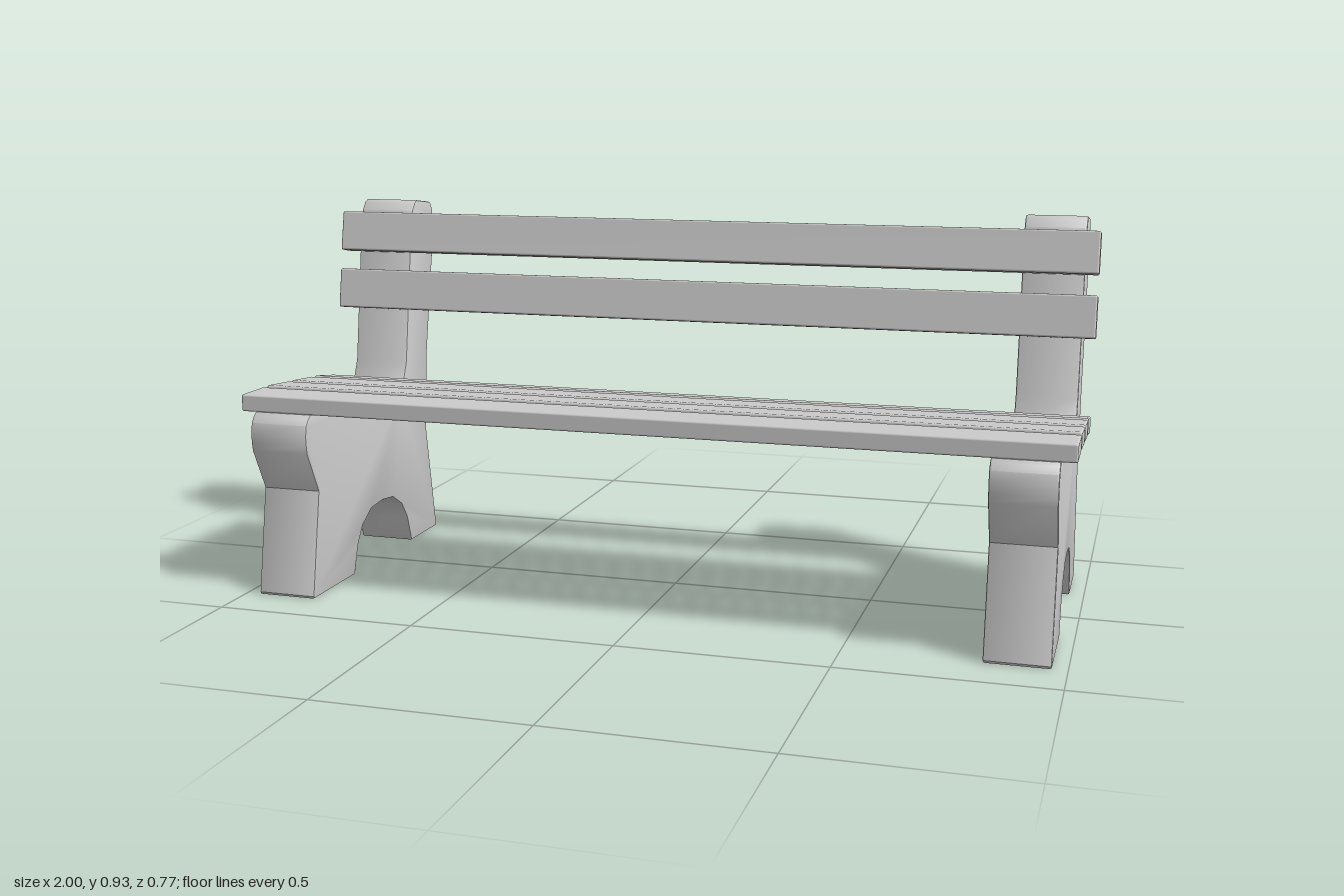
import * as THREE from 'three';
import { toCreasedNormals } from 'three/addons/utils/BufferGeometryUtils.js';
import { RoundedBoxGeometry } from 'three/addons/geometries/RoundedBoxGeometry.js';

const material = new THREE.MeshStandardMaterial({ color: 0xcccccc });

// Side outline as [z, y], counter-clockwise from the rear foot
const outline = [
  // foot arch, rear to front
  [-0.35, 0.003], [-0.30, 0.293], [-0.317, 0.5], [-0.384, 0.84], [-0.384, 0.868],
  [-0.379, 0.897], [-0.37, 0.915], [-0.362, 0.92], [-0.28, 0.93], [-0.268, 0.925],
  [-0.25, 0.903], [-0.24, 0.87], [-0.184, 0.5], [-0.152, 0.428], [-0.148, 0.422], [-0.14, 0.421],
  [0.0, 0.442], [0.36, 0.458], [0.371, 0.45], [0.382, 0.435], [0.387, 0.41],
  [0.386, 0.385], [0.383, 0.365], [0.332, 0.262], [0.379, 0.006], [0.376, 0],
  [0.161, 0], [0.155, 0.006], [0.134, 0.072], [0.105, 0.116], [0.052, 0.149], [-0.013, 0.155],
  [-0.077, 0.148], [-0.13, 0.116], [-0.161, 0.072], [-0.182, 0.005], [-0.186, 0], [-0.347, 0],
];

function supportGeometry() {
  const width = 0.15, bevel = 0.005;
  const shape = new THREE.Shape(outline.map(([z, y]) => new THREE.Vector2(z, y)));
  const geometry = new THREE.ExtrudeGeometry(shape, {
    depth: width - 2 * bevel, bevelSize: bevel, bevelThickness: bevel,
    bevelOffset: -bevel, bevelSegments: 2,
  });
  geometry.translate(0, 0, bevel - width / 2);
  geometry.rotateY(-Math.PI / 2);
  return toCreasedNormals(geometry, 0.5);
}

// Slat centres and backward tilt: [z, y, tilt]
const seatSlats = [
  [0.311, 0.479, 0], [0.188, 0.476, 0.08], [0.064, 0.467, 0.08], [-0.057, 0.455, 0.15],
];
const backSlats = [[-0.191, 0.695, 0.17], [-0.216, 0.847, 0.2]];

export function createModel() {
  const bench = new THREE.Group();
  bench.name = 'bench';

  // End supports
  const support = supportGeometry();
  for (const [name, x] of [['leftSupport', 0.89], ['rightSupport', -0.89]]) {
    const mesh = new THREE.Mesh(support, material);
    mesh.name = name;
    mesh.position.x = x;
    bench.add(mesh);
  }

  // Planks of the seat and backrest
  const addSlats = (name, slats, height, depth) => {
    const group = new THREE.Group();
    group.name = name;
    const geometry = new RoundedBoxGeometry(2, height, depth, 2, 0.005);
    slats.forEach(([z, y, tilt], i) => {
      const slat = new THREE.Mesh(geometry, material);
      slat.name = `${name}Slat${i + 1}`;
      slat.position.set(0, y, z);
      slat.rotation.x = -tilt;
      group.add(slat);
    });
    bench.add(group);
  };
  addSlats('seat', seatSlats, 0.042, 0.104);
  addSlats('backrest', backSlats, 0.104, 0.042);

  return bench;
}
